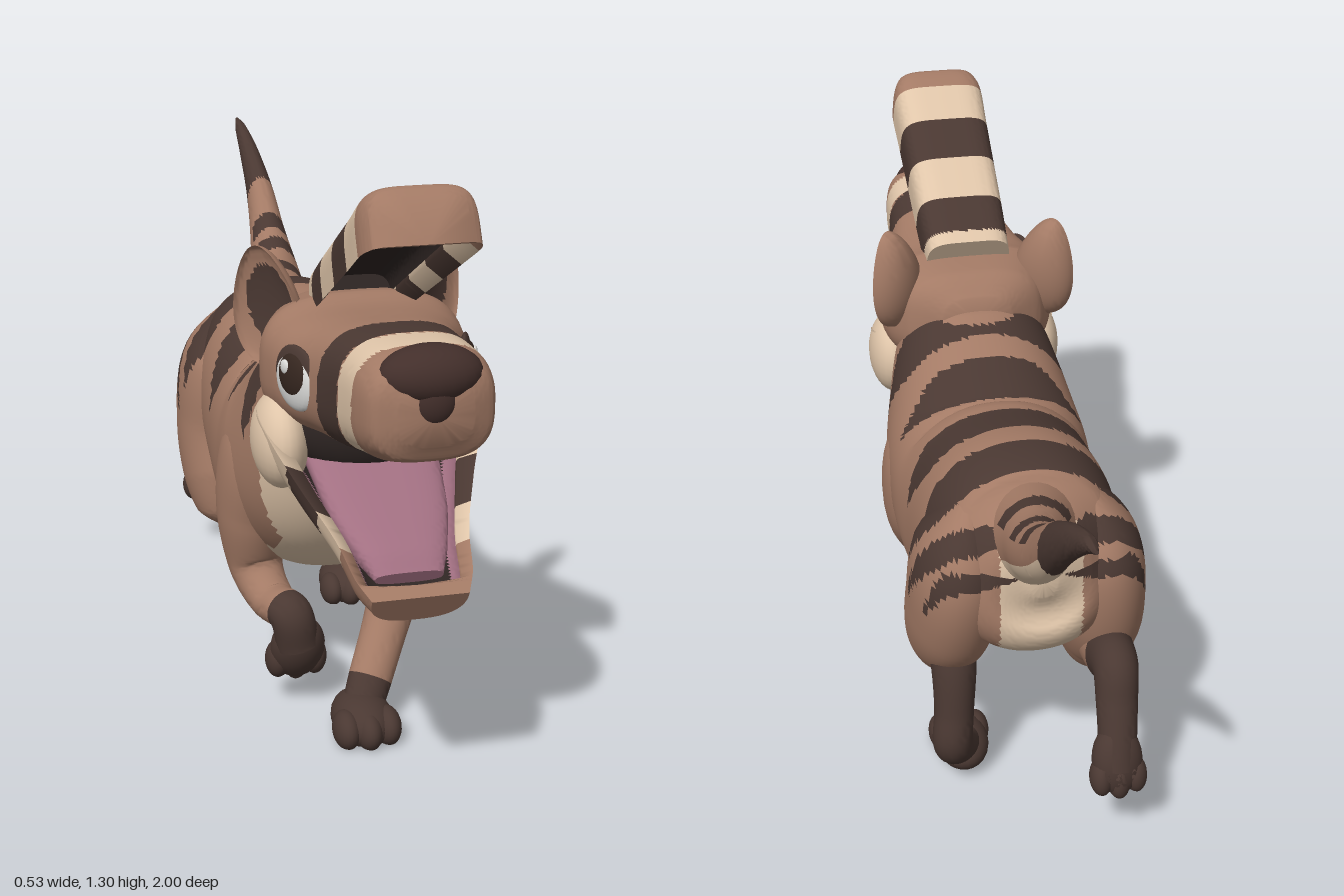
import * as THREE from 'three';
import { toCreasedNormals } from 'three/addons/utils/BufferGeometryUtils.js';

const PALETTE = {
  tan: 0xa37a65, cream: 0xdfc5a9, dark: 0x4a3832, nose: 0x432f2b,
  mouth: 0x2e2523, pink: 0xa16f81, white: 0xdcdcda, pupil: 0x35261f,
};
const mats = {};
for (const [name, color] of Object.entries(PALETTE)) {
  mats[name] = new THREE.MeshStandardMaterial({ color });
  mats[name].name = name;
}

// Sorts faces into colour groups by a rule on each face's centre and uv.
function paint(name, geo, rule) {
  const pos = geo.attributes.position, uv = geo.attributes.uv, idx = geo.index.array;
  const buckets = {}, p = new THREE.Vector3(), t = new THREE.Vector2();
  for (let f = 0; f < idx.length; f += 3) {
    p.set(0, 0, 0); t.set(0, 0);
    for (let k = 0; k < 3; k++) {
      const i = idx[f + k];
      p.x += pos.getX(i) / 3; p.y += pos.getY(i) / 3; p.z += pos.getZ(i) / 3;
      t.x += uv.getX(i) / 3; t.y += uv.getY(i) / 3;
    }
    (buckets[rule(p, t)] ??= []).push(idx[f], idx[f + 1], idx[f + 2]);
  }
  const order = [], names = Object.keys(buckets);
  geo.clearGroups();
  names.forEach((n, i) => {
    geo.addGroup(order.length, buckets[n].length, i);
    for (const v of buckets[n]) order.push(v);
  });
  geo.setIndex(order);
  const mesh = new THREE.Mesh(toCreasedNormals(geo, 1.0), names.map(n => mats[n]));
  mesh.name = name;
  return mesh;
}

// Superellipse outline, and an open trough (flip = -1 opens downwards) whose hollow closes at the tip.
const oval = e => v => {
  const c = Math.cos(v * Math.PI * 2), s = Math.sin(v * Math.PI * 2);
  return [Math.sign(c) * Math.abs(c) ** (2 / e), Math.sign(s) * Math.abs(s) ** (2 / e)];
};
const trough = (e, flip, wide, deep) => (v, u) => {
  const open = THREE.MathUtils.clamp((0.9 - u) / 0.04, 0, 1), inner = v > 0.5 && v < 1;
  const [c, s] = oval(e)(inner ? 1.5 - v : 0.5 + (v % 1));
  return [flip * c * (inner ? wide * open : 1), flip * s * (inner ? deep * open : 1)];
};

// Skin through stations [x, y, z, half width, half depth] with closed ends.
function loft(stations, section = oval(2), n = 40, m = 40) {
  const path = new THREE.CatmullRomCurve3(stations.map(s => new THREE.Vector3(s[0], s[1], s[2])));
  const size = new THREE.CatmullRomCurve3(stations.map(s => new THREE.Vector3(s[3], s[4], 0)), false, 'catmullrom', 0.5);
  const pos = [], uvs = [], index = [], q = new THREE.Vector3();
  for (let i = -1; i <= n + 1; i++) {
    const u = THREE.MathUtils.clamp(i / n, 0, 1), cap = i < 0 || i > n ? 0 : 1;
    const c = path.getPoint(u), t = path.getTangent(u), r = size.getPoint(u);
    const side = new THREE.Vector3(1, 0, 0).addScaledVector(t, -t.x).normalize();
    const up = new THREE.Vector3().crossVectors(t, side);
    for (let j = 0; j <= m; j++) {
      const [a, b] = section(j / m, u);
      q.copy(c).addScaledVector(side, a * r.x * cap).addScaledVector(up, b * r.y * cap);
      pos.push(q.x, q.y, q.z); uvs.push(u, j / m);
      if (i <= n && j < m) {
        const k = (i + 1) * (m + 1) + j, l = k + m + 1;
        index.push(k, k + 1, l, k + 1, l + 1, l);
      }
    }
  }
  const geo = new THREE.BufferGeometry();
  geo.setAttribute('position', new THREE.Float32BufferAttribute(pos, 3));
  geo.setAttribute('uv', new THREE.Float32BufferAttribute(uvs, 2));
  geo.setIndex(index);
  return geo;
}

function ball(name, mat, radii, at, rot = [0, 0, 0]) {
  const mesh = new THREE.Mesh(new THREE.SphereGeometry(1, 24, 16).scale(...radii), mats[mat]);
  mesh.name = name; mesh.position.set(...at); mesh.rotation.set(...rot);
  return mesh;
}

// Coat: back stripes [z, half width, forward slant, lower end, upper end] and pale underside.
const STRIPES = [
  [0.29, 0.055, 0.1, 0.63, 0.88], [0.13, 0.05, 0, 0.66, 1], [-0.06, 0.06, 0.1, 0.58, 1],
  [-0.25, 0.055, 0.05, 0.57, 1], [-0.46, 0.034, 0.6, 0.5, 0.73], [-0.52, 0.026, 0.5, 0.5, 0.64],
];
function coat(p) {
  for (const [z, w, slant, low, high] of STRIPES) {
    const k = THREE.MathUtils.clamp((p.y - low) / 0.13, 0, 1);
    if (p.y < high && Math.abs(p.z - z - slant * (0.83 - p.y)) < w * k) return 'dark';
  }
  const x = Math.abs(p.x);
  if (p.z > 0.3 + 0.15 * p.y && p.y < 0.76) return 'cream';
  if (p.z > 0.2 && x < 0.15 && p.y < 0.55) return 'cream';
  if (p.z > -0.14 && p.y < 0.37 + (p.z < -0.04 ? 0.08 : 0)) return 'cream';
  if (p.z < -0.39 && x < 0.09 && p.y < 0.74) return 'cream';
  return 'tan';
}

// Paw resting on its own y = 0, toes towards +z.
function paw(name, at, tilt, scale) {
  const g = new THREE.Group();
  g.name = name;
  const lump = (r, c) => {
    const geo = new THREE.SphereGeometry(1, 24, 16).scale(...r).translate(...c), a = geo.attributes.position;
    for (let i = 0; i < a.count; i++) a.setY(i, Math.max(0, a.getY(i)));
    g.add(new THREE.Mesh(geo, mats.dark));
  };
  lump([0.066, 0.056, 0.095], [0, 0.034, -0.005]);
  for (const x of [-0.045, 0, 0.045]) lump([0.03, 0.042, 0.05], [x, 0.032, 0.052 - Math.abs(x) * 0.3]);
  g.position.set(...at); g.rotation.x = tilt; g.scale.setScalar(scale);
  return g;
}

export function createModel() {
  const model = new THREE.Group();
  model.name = 'stripedAnimal';
  const add = (...parts) => model.add(...parts);

  // Trunk and neck
  add(paint('body', loft([
    [0, 0.63, -0.455, 0.03, 0.04], [0, 0.63, -0.43, 0.11, 0.12], [0, 0.61, -0.36, 0.185, 0.2],
    [0, 0.585, -0.22, 0.22, 0.245], [0, 0.525, -0.03, 0.232, 0.27], [0, 0.515, 0.1, 0.24, 0.258],
    [0, 0.57, 0.22, 0.238, 0.25], [0, 0.68, 0.33, 0.21, 0.22], [0, 0.79, 0.42, 0.17, 0.17], [0, 0.84, 0.46, 0.1, 0.1],
  ], oval(2.2), 120, 80), coat));

  // Tail
  add(paint('tail', loft([
    [0, 0.68, -0.34, 0.11, 0.12], [0.015, 0.725, -0.44, 0.078, 0.092], [0.03, 0.765, -0.53, 0.06, 0.07],
    [0.038, 0.83, -0.64, 0.045, 0.055], [0.04, 0.92, -0.75, 0.034, 0.046], [0.035, 1.0, -0.86, 0.024, 0.032],
    [0.03, 1.05, -0.95, 0.014, 0.017], [0.03, 1.065, -1.0, 0.004, 0.004],
  ], oval(2), 80, 32), (p, t) => {
    if (p.z < -0.73) return 'dark';
    if (t.y > 0.07 && t.y < 0.43) return 'cream';
    return [-0.42, -0.53, -0.61].some(z => Math.abs(p.z - z) < 0.024) && t.y > 0.56 && t.y < 0.94 ? 'dark' : 'tan';
  }));

  // Head and snout
  add(paint('head', loft([
    [0, 0.87, 0.29, 0.08, 0.06], [0, 0.865, 0.34, 0.16, 0.11], [0, 0.85, 0.44, 0.208, 0.14],
    [0, 0.855, 0.53, 0.202, 0.127], [0, 0.865, 0.62, 0.17, 0.124], [0, 0.877, 0.71, 0.15, 0.124],
    [0, 0.893, 0.8, 0.138, 0.118], [0, 0.908, 0.91, 0.13, 0.108], [0, 0.91, 0.965, 0.112, 0.09], [0, 0.91, 0.985, 0.07, 0.055],
  ], oval(2.9), 100, 64), (p, t) => {
    if (Math.abs(t.y - 0.75) < 0.1 && p.z > 0.5 && p.z < 0.9) return 'mouth';
    if (p.z > 0.81 && p.z < 0.89) return 'cream';
    if (p.z > 0.705 && p.z <= 0.805) return 'dark';
    return p.z > 0.42 && p.z < 0.56 && p.y < 0.77 ? 'cream' : 'tan';
  }));
  add(ball('nose', 'nose', [0.098, 0.056, 0.06], [0, 0.975, 0.94]));
  add(ball('noseBridge', 'nose', [0.045, 0.05, 0.03], [0, 0.935, 0.965]));

  // Lower jaw with hollow, tongue and throat
  add(paint('lowerJaw', loft([
    [0, 0.77, 0.4, 0.17, 0.17], [0, 0.77, 0.49, 0.225, 0.22], [0, 0.735, 0.58, 0.218, 0.18],
    [0, 0.665, 0.67, 0.178, 0.125], [0, 0.6, 0.78, 0.135, 0.1], [0, 0.55, 0.87, 0.115, 0.09], [0, 0.525, 0.915, 0.095, 0.07],
  ], trough(2.7, 1, 0.82, 0.7), 80, 64), (p, t) => {
    if (t.y > 0.53 && t.y < 0.97 && t.x < 0.87) return Math.abs(t.y - 0.75) > 0.15 ? 'pink' : 'mouth';
    const s = p.z - 0.25 * (p.y - 0.58);
    return s > 0.8 ? 'tan' : s > 0.71 ? 'cream' : s > 0.6 ? 'dark' : 'cream';
  }));
  add(paint('tongue', loft([
    [0, 0.68, 0.53, 0.14, 0.03], [0, 0.6, 0.69, 0.118, 0.032], [0, 0.552, 0.79, 0.088, 0.03], [0, 0.53, 0.835, 0.068, 0.015],
  ], oval(3)), () => 'pink'));
  add(ball('throat', 'mouth', [0.17, 0.12, 0.1], [0, 0.74, 0.52]));

  // Raised hollow crest above the snout
  add(paint('crest', loft([
    [0, 0.945, 0.44, 0.1, 0.1], [0, 1.0, 0.54, 0.104, 0.105], [0, 1.065, 0.66, 0.107, 0.11],
    [0, 1.13, 0.78, 0.11, 0.115], [0, 1.18, 0.87, 0.112, 0.12], [0, 1.2, 0.907, 0.1, 0.11], [0, 1.206, 0.918, 0.082, 0.09],
  ], trough(4.5, -1, 0.72, 0.75), 90, 64), (p, t) => {
    if (t.y > 0.53 && t.y < 0.97 && t.x < 0.88) return 'mouth';
    const band = [0.05, 0.19, 0.33, 0.48, 0.63].findIndex(e => t.x < e);
    return band < 0 ? 'tan' : band % 2 ? 'dark' : 'cream';
  }));

  // Cheeks, eyes and ears, mirrored
  for (const s of [1, -1]) {
    add(ball(s > 0 ? 'leftCheek' : 'rightCheek', 'cream', [0.058, 0.1, 0.1], [s * 0.18, 0.705, 0.5]));

    const eye = new THREE.Group();
    eye.name = s > 0 ? 'leftEye' : 'rightEye';
    eye.add(ball('eyeRim', 'dark', [0.071, 0.066, 0.014], [0, 0.004, -0.001]));
    eye.add(ball('eyeWhite', 'white', [0.065, 0.059, 0.019], [0, -0.003, 0]));
    eye.add(ball('iris', 'pupil', [0.047, 0.046, 0.017], [0, 0.008, 0.006]));
    eye.add(ball('glint', 'white', [0.014, 0.015, 0.006], [s * 0.012, 0.027, 0.019]));
    eye.position.set(s * 0.17, 0.868, 0.615);
    eye.rotation.y = s * 1.2;
    add(eye);

    const cup = new THREE.SphereGeometry(1, 40, 28), a = cup.attributes.position;
    for (let i = 0; i < a.count; i++) {
      const z = a.getZ(i), y = a.getY(i);
      a.setXYZ(i, a.getX(i) * 0.08 * (1 - 0.28 * y), y * 0.128, z > 0 ? -0.025 * z : 0.06 * z);
    }
    const ear = paint(s > 0 ? 'leftEar' : 'rightEar', cup,
      (p, t) => t.x < 0.5 && (p.x / 0.08) ** 2 + (p.y / 0.128) ** 2 < 0.45 ? 'dark' : 'tan');
    ear.position.set(s * 0.187, 0.953, 0.4);
    ear.rotation.set(0, s * 0.8, -s * 0.2);
    add(ear);
  }

  // Front legs: left planted, right lifted
  const sock = from => (p, t) => (t.x > from ? 'dark' : 'tan');
  add(paint('frontLeftLeg', loft([
    [0.14, 0.68, 0.18, 0.05, 0.06], [0.16, 0.57, 0.2, 0.085, 0.12], [0.17, 0.44, 0.22, 0.08, 0.115],
    [0.15, 0.32, 0.28, 0.065, 0.075], [0.09, 0.2, 0.36, 0.052, 0.052], [0.035, 0.1, 0.43, 0.048, 0.044], [0.01, 0.05, 0.46, 0.045, 0.04],
  ], oval(2), 60, 32), sock(0.83)));
  add(paw('frontLeftPaw', [0.005, 0, 0.48], 0, 1));
  add(paint('frontRightLeg', loft([
    [-0.14, 0.68, 0.18, 0.05, 0.06], [-0.16, 0.57, 0.2, 0.085, 0.12], [-0.175, 0.42, 0.19, 0.08, 0.1],
    [-0.17, 0.29, 0.2, 0.06, 0.065], [-0.15, 0.24, 0.28, 0.05, 0.045], [-0.125, 0.235, 0.35, 0.048, 0.045], [-0.108, 0.16, 0.35, 0.048, 0.045],
  ], oval(2), 60, 32), sock(0.78)));
  add(paw('frontRightPaw', [-0.105, 0.155, 0.3], 2.0, 0.92));

  // Hind legs: left planted, right pushed back
  const thigh = (s, back) => loft([
    [s * 0.12, 0.75, -0.27, 0.03, 0.05], [s * 0.15, 0.62, -0.28, 0.095, 0.145], [s * 0.165, 0.46, -0.25 - back * 0.5, 0.1, 0.145],
    [s * 0.17, 0.34, -0.17 - back, 0.088, 0.115], [s * 0.17, 0.265, -0.14 - back, 0.062, 0.08], [s * 0.17, 0.238, -0.135 - back, 0.025, 0.035],
  ], oval(2.1), 70, 52);
  add(paint('hindLeftThigh', thigh(1, 0), p => (coat(p) === 'dark' ? 'dark' : 'tan')));
  add(paint('hindRightThigh', thigh(-1, 0.05), p => (coat(p) === 'dark' ? 'dark' : 'tan')));
  add(paint('hindLeftShank', loft([
    [0.17, 0.4, -0.25, 0.06, 0.06], [0.17, 0.33, -0.3, 0.052, 0.055], [0.175, 0.22, -0.328, 0.045, 0.048],
    [0.18, 0.135, -0.335, 0.046, 0.048], [0.16, 0.075, -0.28, 0.047, 0.042], [0.14, 0.045, -0.22, 0.045, 0.035],
  ], oval(2), 40, 28), sock(0.12)));
  add(paw('hindLeftPaw', [0.14, 0, -0.21], 0, 0.95));
  add(paint('hindRightShank', loft([
    [-0.17, 0.37, -0.28, 0.07, 0.08], [-0.165, 0.375, -0.38, 0.058, 0.07], [-0.16, 0.39, -0.465, 0.05, 0.058],
    [-0.155, 0.33, -0.505, 0.046, 0.046], [-0.15, 0.25, -0.54, 0.043, 0.043], [-0.145, 0.19, -0.56, 0.045, 0.042],
  ], oval(2), 40, 28), sock(0.25)));
  add(paw('hindRightPaw', [-0.145, 0.22, -0.59], 1.9, 0.85));
  return model;
}
